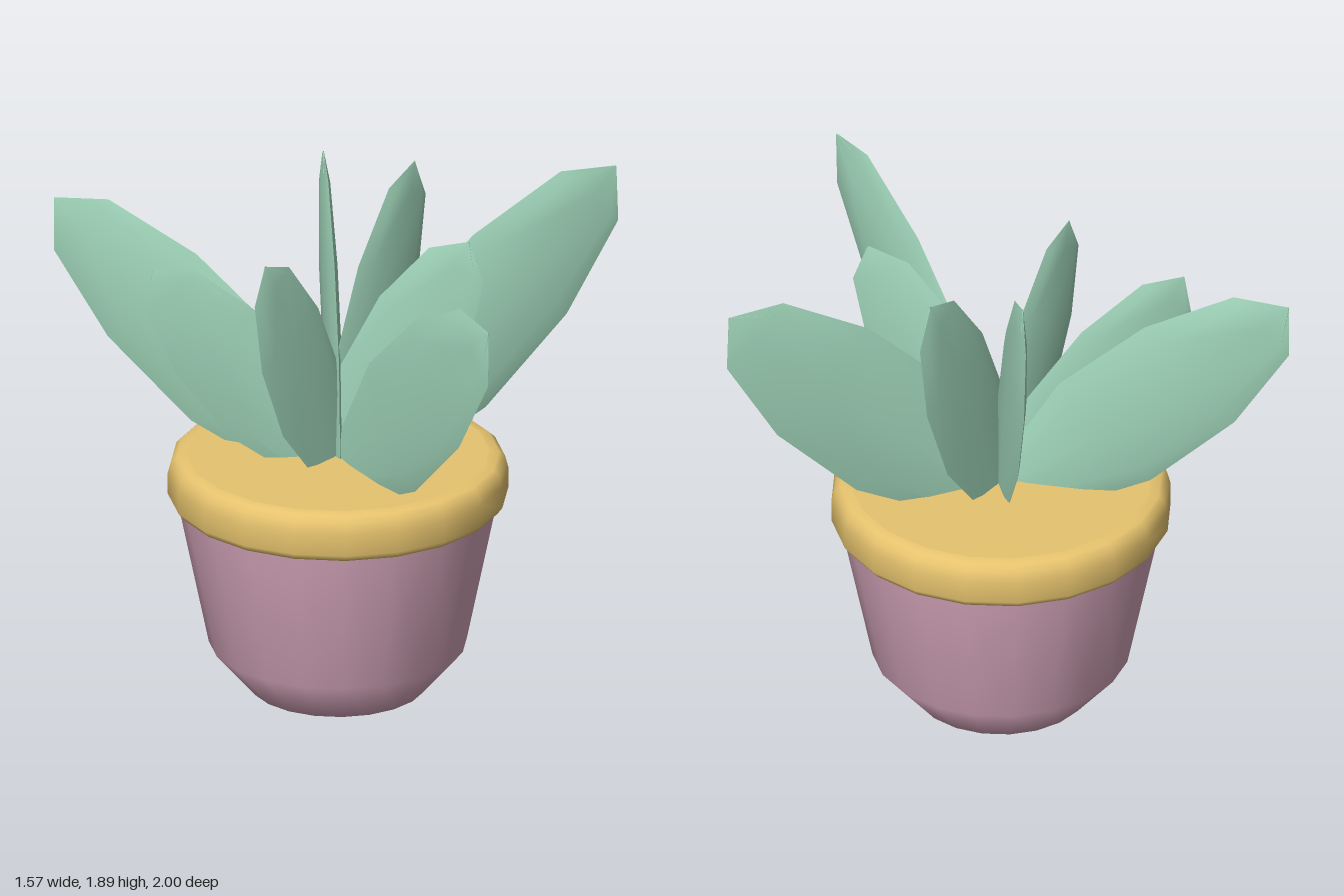
import * as THREE from 'three';
import { toCreasedNormals } from 'three/addons/utils/BufferGeometryUtils.js';

const CENTER = [-0.175, -0.05]; // pot axis (x, z)
const SIDES = 20;

function lathe(points, color, name) {
  const profile = points.map(([r, y]) => new THREE.Vector2(r, y));
  const geo = new THREE.LatheGeometry(profile, SIDES, Math.PI / SIDES);
  const mesh = new THREE.Mesh(geo, new THREE.MeshStandardMaterial({ color }));
  mesh.name = name;
  mesh.position.set(CENTER[0], 0, CENTER[1]);
  return mesh;
}

// Unit leaf stations along its axis: position, half width, half thickness
const STATIONS = [
  [0, 0.065, 0.012],
  [0.36, 0.172, 0.021],
  [0.655, 0.169, 0.021],
  [0.905, 0.104, 0.013],
  [1, 0.002, 0.002],
];

// Lens-shaped cross-sections lofted from the root to a pointed tip
function leafGeometry() {
  const n = 8, pos = [], index = [];
  for (const [t, w, d] of STATIONS) {
    for (let i = 0; i < n; i++) {
      const a = (i / n) * Math.PI * 2;
      pos.push(t, -w * Math.cos(a), d * Math.sin(a));
    }
  }
  for (let s = 0; s < STATIONS.length - 1; s++) {
    for (let i = 0; i < n; i++) {
      const a = s * n + i, b = s * n + ((i + 1) % n);
      index.push(a, a + n, b, b, a + n, b + n);
    }
  }
  const geo = new THREE.BufferGeometry();
  geo.setAttribute('position', new THREE.Float32BufferAttribute(pos, 3));
  geo.setIndex(index);
  return toCreasedNormals(geo, THREE.MathUtils.degToRad(40));
}

export function createModel() {
  const group = new THREE.Group();
  group.name = 'pottedPlant';

  // Tapered pot with a chamfered foot
  group.add(lathe([[0, 0], [0.32, 0], [0.465, 0.17], [0.582, 0.74]], 0xd8a8bd, 'pot'));

  // Rounded rim
  const rim = lathe([
    [0.55, 0.725], [0.595, 0.725], [0.613, 0.75], [0.613, 0.83],
    [0.602, 0.872], [0.58, 0.892], [0.545, 0.898],
  ], 0xe6c36e, 'rim');
  group.add(rim);

  // Flat top surface inside the rim
  group.add(lathe([[0.545, 0.898], [0, 0.898]], 0xe6c36e, 'soil'));

  // Leaves fan out from one root: direction (dx, dz), tip reach and tip height
  const leaves = [
    [0.955, 0.48, 1.07, 1.855],
    [-0.345, 1.05, 1.1, 1.765],
    [-0.475, -0.95, 1.06, 1.77],
    [0.215, 0.52, 0.5, 1.79],
    [0.525, -0.06, 0.47, 1.875],
    [0.335, -0.39, 0.44, 1.89],
    [-0.485, 0.04, 0.43, 1.765],
    [-0.555, -0.43, 0.675, 1.655],
  ];
  const rootY = 0.79;
  const geo = leafGeometry();
  const green = new THREE.MeshStandardMaterial({ color: 0x9fd3b8, side: THREE.DoubleSide });
  const foliage = new THREE.Group();
  foliage.name = 'leaves';
  foliage.position.set(CENTER[0], rootY, CENTER[1] );
  for (const [dx, dz, reach, top] of leaves) {
    const leaf = new THREE.Mesh(geo, green);
    leaf.name = 'leaf';
    leaf.rotation.set(0, Math.atan2(-dz, dx), Math.atan2(top - rootY, reach), 'YZX');
    leaf.scale.setScalar(Math.hypot(reach, top - rootY));
    foliage.add(leaf);
  }
  group.add(foliage);
  return group;
}
